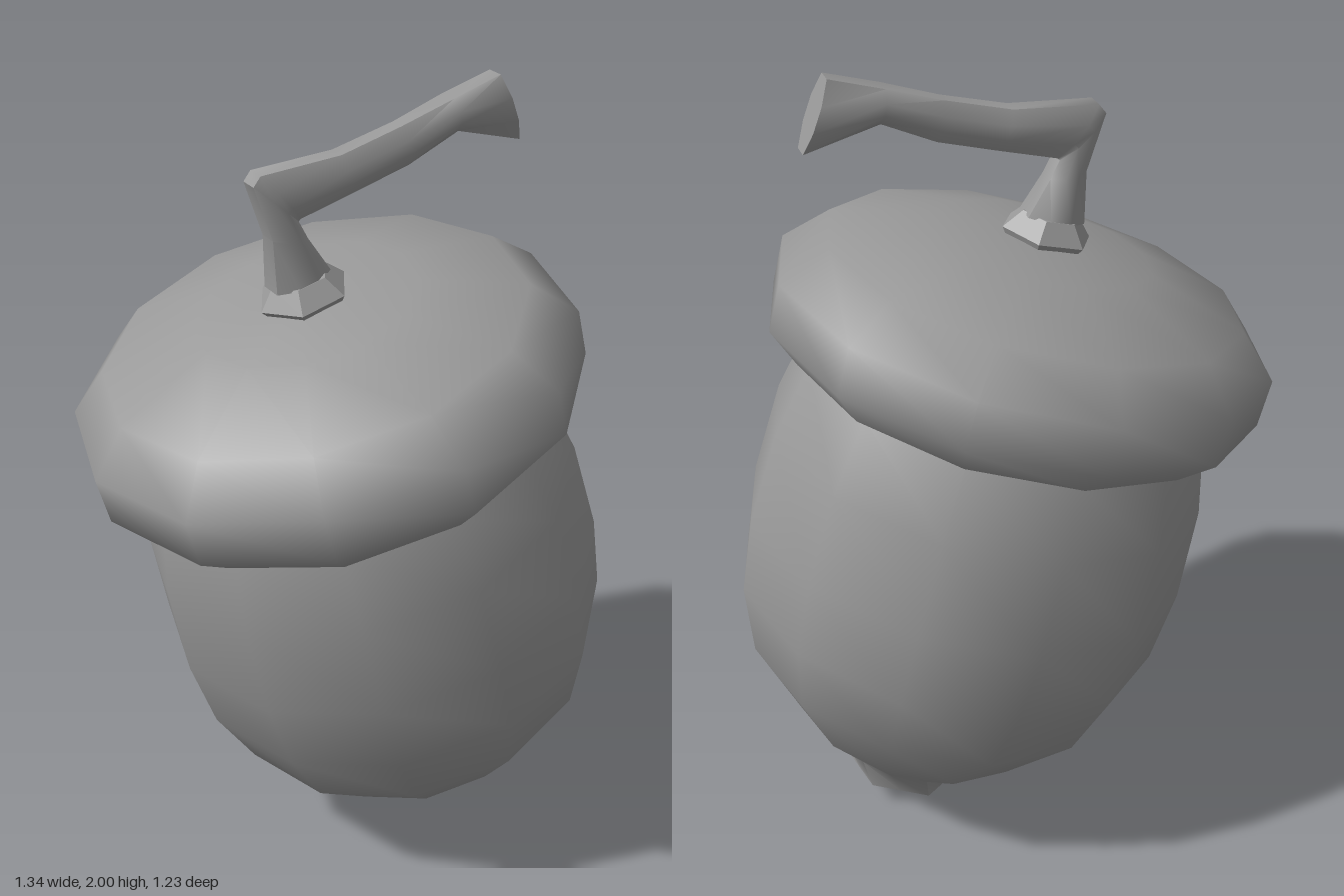
import * as THREE from 'three';
import { toCreasedNormals } from 'three/addons/utils/BufferGeometryUtils.js';

const material = new THREE.MeshStandardMaterial({ color: 0x999999, side: THREE.DoubleSide });

function part(name, geometry, crease) {
  const mesh = new THREE.Mesh(toCreasedNormals(geometry, crease), material);
  mesh.name = name;
  return mesh;
}

const lathe = (profile, sides, start = 0) =>
  new THREE.LatheGeometry(profile.map(([r, y]) => new THREE.Vector2(r, y)), sides, start);

// Loft through cross-sections: [outer x, outer y, inner x, inner y, half width in z]
function loft(sections) {
  const ring = [[1, 0.5], [0.35, 1], [-0.35, 1], [-1, 0.5], [-1, -0.5], [-0.35, -1], [0.35, -1], [1, -0.5]];
  const n = ring.length;
  const positions = [], index = [];
  for (const [ax, ay, bx, by, w] of sections) {
    for (const [d, z] of ring) {
      positions.push((ax + bx + d * (ax - bx)) / 2, (ay + by + d * (ay - by)) / 2, z * w);
    }
  }
  const last = (sections.length - 1) * n;
  for (let i = 0; i < last; i += n) {
    for (let j = 0; j < n; j++) {
      const k = (j + 1) % n;
      index.push(i + j, i + k, i + n + j, i + k, i + n + k, i + n + j);
    }
  }
  // Closed ends
  for (let j = 1; j < n - 1; j++) {
    index.push(0, j + 1, j, last, last + j, last + j + 1);
  }
  const geometry = new THREE.BufferGeometry();
  geometry.setAttribute('position', new THREE.Float32BufferAttribute(positions, 3));
  geometry.setIndex(index);
  return geometry;
}

export function createModel() {
  const model = new THREE.Group();
  model.name = 'acorn';

  // The nut and cap lean together
  const leaning = new THREE.Group();
  leaning.name = 'leaningNut';
  leaning.position.set(0.275, 0.045, 0);
  leaning.rotation.z = 0.256;
  model.add(leaning);

  // Nut body
  const profile = [
    [0, -0.004], [0.153, -0.004], [0.177, 0.065], [0.322, 0.176], [0.484, 0.363], [0.547, 0.54],
    [0.565, 0.736], [0.55, 0.978], [0.505, 1.166], [0.43, 1.32], [0, 1.4],
  ];
  const body = lathe(profile, 12);
  // Lowest ring becomes a slightly turned hexagonal tip
  const [tipRadius, tipY] = profile[1];
  for (let i = 0; i <= 12; i++) {
    const r = i % 2 ? tipRadius * Math.cos(Math.PI / 6) : tipRadius;
    const a = (i % 12) * Math.PI / 6 + 0.2;
    body.attributes.position.setXYZ(i * profile.length + 1, r * Math.sin(a), tipY, r * Math.cos(a));
  }
  leaning.add(part('nutBody', body, 0.9));

  // Cap with a rolled brim and hollow underside
  leaning.add(part('cap', lathe([
    [0.42, 1.34], [0.5, 1.24], [0.532, 1.168], [0.616, 1.247], [0.617, 1.366],
    [0.518, 1.464], [0.27, 1.537], [0, 1.56],
  ], 12), 1.35));

  // Hexagonal collar at the foot of the stem
  leaning.add(part('stemCollar', lathe([
    [0.095, 1.54], [0.113, 1.566], [0.072, 1.612], [0, 1.615],
  ], 6, Math.PI / 2), 0.4));

  // Bent stem, flaring at its cut end
  model.add(part('stem', loft([
    [-0.205, 1.58, -0.065, 1.615, 0.062],
    [-0.21, 1.71, -0.12, 1.7, 0.05],
    [-0.255, 1.845, -0.143, 1.745, 0.048],
    [-0.237, 1.868, -0.138, 1.75, 0.048],
    [-0.03, 1.88, 0.0, 1.785, 0.044],
    [0.13, 1.92, 0.15, 1.825, 0.04],
    [0.265, 1.963, 0.28, 1.885, 0.05],
    [0.395, 2.0, 0.457, 1.835, 0.046],
  ]), 0.85));

  return model;
}
